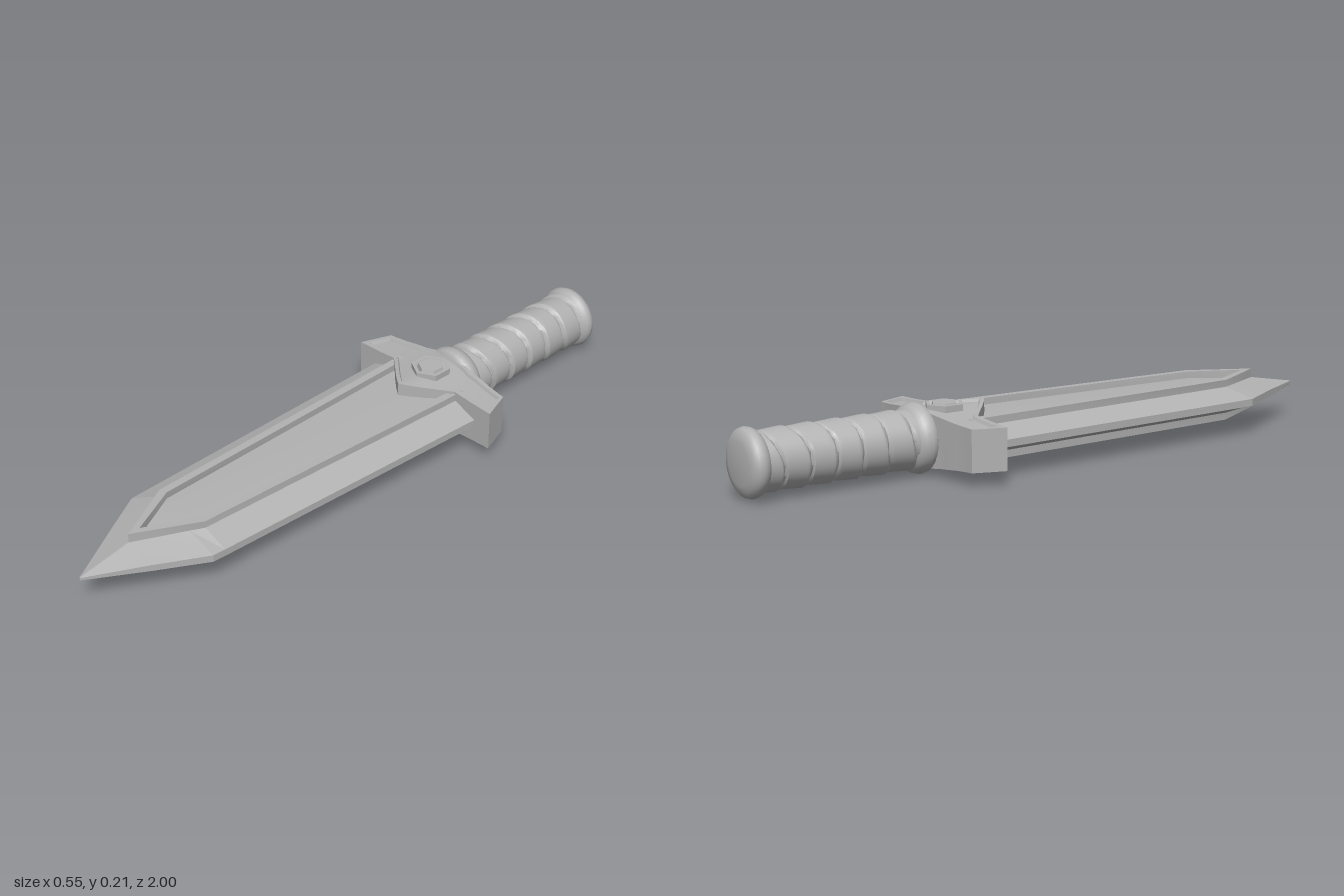
import * as THREE from 'three';
import { toCreasedNormals } from 'three/addons/utils/BufferGeometryUtils.js';

const MID = 0.105; // height of the dagger's centre line
const steel = new THREE.MeshStandardMaterial({ color: 0xb2b2b2 });
steel.name = 'grey steel';

function part(name, geometry, crease = 0.5) {
  const mesh = new THREE.Mesh(toCreasedNormals(geometry, crease), steel);
  mesh.name = name;
  return mesh;
}

// Skin a row of equal-length cross-section loops and cap both ends
function loft(sections) {
  const n = sections[0].length, last = sections.length - 1, index = [];
  for (let i = 0; i < last; i++) {
    for (let j = 0; j < n; j++) {
      const k = (j + 1) % n, a = i * n + j, b = i * n + k;
      index.push(a, b, b + n, a, b + n, a + n);
    }
  }
  for (let j = 1; j < n - 1; j++) {
    index.push(0, j + 1, j, last * n, last * n + j, last * n + j + 1);
  }
  const g = new THREE.BufferGeometry();
  g.setAttribute('position', new THREE.Float32BufferAttribute(sections.flat(2), 3));
  g.setIndex(index);
  g.computeVertexNormals();
  return g;
}

function buildBlade() {
  // z, edge half-width, panel half-width, panel height, ridge height, edge height
  const rows = [
    [-0.38, 0.217, 0.135, 0.042, 0.047, 0.011],
    [0.64, 0.181, 0.1, 0.041, 0.045, 0.011],
    [0.68, 0.179, 0.079, 0.04, 0.043, 0.011],
    [0.83, 0.095, 0.002, 0.035, 0.035, 0.01],
    [1, 0.001, 0.0005, 0.005, 0.005, 0.004],
  ];
  return part('blade', loft(rows.map(([z, w, p, h, r, e]) => [
    [w, -e, z], [w, e, z], [p, h, z], [0, r, z], [-p, h, z],
    [-w, e, z], [-w, -e, z], [-p, -h, z], [0, -r, z], [p, -h, z],
  ])), 0.1);
}

// Raised border around the blade panel
function buildRim() {
  const outline = (wide, narrow, shoulder, tip) => [
    [-wide, -0.34], [wide, -0.34], [narrow, shoulder], [0, tip], [-narrow, shoulder],
  ].map(([x, z]) => new THREE.Vector2(x, z));
  const shape = new THREE.Shape(outline(0.136, 0.1, 0.64, 0.83));
  shape.holes.push(new THREE.Path(outline(0.111, 0.077, 0.632, 0.79)));
  const g = new THREE.ExtrudeGeometry(shape, { depth: 0.035, bevelEnabled: false });
  g.rotateX(Math.PI / 2).translate(0, 0.063, 0);
  return part('bladeRim', g);
}

function buildGuard() {
  // |x|, back z, front z, half-height, panel recess
  const half = [
    [0, -0.43, -0.2, 0.088, 0.009], [0.03, -0.43, -0.222, 0.084, 0.009],
    [0.065, -0.427, -0.252, 0.079, 0.009], [0.1, -0.42, -0.284, 0.074, 0.009],
    [0.13, -0.418, -0.309, 0.071, 0.009], [0.19, -0.412, -0.309, 0.066, 0.009],
    [0.253, -0.406, -0.309, 0.063, 0.009], [0.258, -0.406, -0.309, 0.063, 0],
    [0.275, -0.405, -0.309, 0.062, 0],
  ];
  const rows = [
    ...half.slice(1).reverse().map(([x, ...rest]) => [-x, ...rest]), ...half,
  ];
  return part('guard', loft(rows.map(([x, b, f, h, d]) => {
    const top = [[b, h], [b + 0.014, h], [b + 0.018, h - d], [f - 0.02, h - d], [f - 0.015, h], [f, h]];
    const ring = [...top, ...top.map(([z, y]) => [z, -y]).reverse()];
    // the ends slant inwards towards the back
    const slant = 0.035 * Math.max(0, (Math.abs(x) - 0.13) / 0.145);
    return ring.map(([z, y]) => [x - Math.sign(x) * slant * (f - z) / (f - b), y, z]);
  })), 0.35);
}

// Six-sided stud with a raised frame
function buildStud() {
  const hex = (r) => Array.from({ length: 6 }, (_, i) => {
    const a = i * Math.PI / 3;
    return new THREE.Vector2(r * Math.sin(a), r * Math.cos(a));
  });
  const group = new THREE.Group();
  group.name = 'stud';
  const shape = new THREE.Shape(hex(0.06));
  shape.holes.push(new THREE.Path(hex(0.048)));
  const frame = new THREE.ExtrudeGeometry(shape, { depth: 0.02, bevelEnabled: false });
  frame.rotateX(Math.PI / 2).translate(0, 0.091, -0.338);
  const gem = new THREE.CylinderGeometry(0.038, 0.046, 0.024, 6);
  gem.translate(0, 0.082, -0.338);
  group.add(part('studFrame', frame), part('studGem', gem));
  return group;
}

// Grip wrapped with a spiral strap
function buildGrip() {
  const g = new THREE.CylinderGeometry(1, 1, 0.52, 40, 110, true);
  g.rotateX(Math.PI / 2).translate(0, 0, -0.7);
  const p = g.attributes.position;
  for (let i = 0; i < p.count; i++) {
    const x = p.getX(i), y = p.getY(i), z = p.getZ(i), a = Math.atan2(y, x);
    const turn = z / 0.085 - a / (2 * Math.PI) + 0.19 + 0.07 * Math.sin(2 * a + z * 9);
    const t = turn - Math.floor(turn);
    const groove = Math.max(0, 1 - Math.min(t, 1 - t) / 0.1);
    const r = 0.084 + 0.006 * t - 0.009 * groove;
    p.setXY(i, x * r, y * r);
  }
  g.computeVertexNormals();
  return part('grip', g, 0.6);
}

function turned(name, profile) {
  const g = new THREE.LatheGeometry(profile.map(([r, z]) => new THREE.Vector2(r, z)), 32);
  return part(name, g.rotateX(Math.PI / 2), 0.7);
}

export function createModel() {
  const model = new THREE.Group();
  model.name = 'dagger';
  const body = new THREE.Group();
  body.name = 'daggerBody';
  body.position.y = MID;
  body.add(buildBlade(), buildGuard(), buildGrip());

  // Matching details on the upper and lower faces
  for (const [name, angle] of [['upperDetails', 0], ['lowerDetails', Math.PI]]) {
    const face = new THREE.Group();
    face.name = name;
    face.rotation.z = angle;
    face.add(buildRim(), buildStud());
    body.add(face);
  }

  body.add(
    turned('pommel', [
      [0, -1], [0.06, -0.999], [0.083, -0.994], [0.096, -0.983], [0.1, -0.97],
      [0.097, -0.957], [0.089, -0.947], [0.08, -0.94],
    ]),
    turned('collar', [
      [0.08, -0.476], [0.091, -0.469], [0.098, -0.458], [0.104, -0.44],
      [0.101, -0.425], [0.09, -0.416], [0, -0.408],
    ]),
  );
  model.add(body);
  return model;
}
